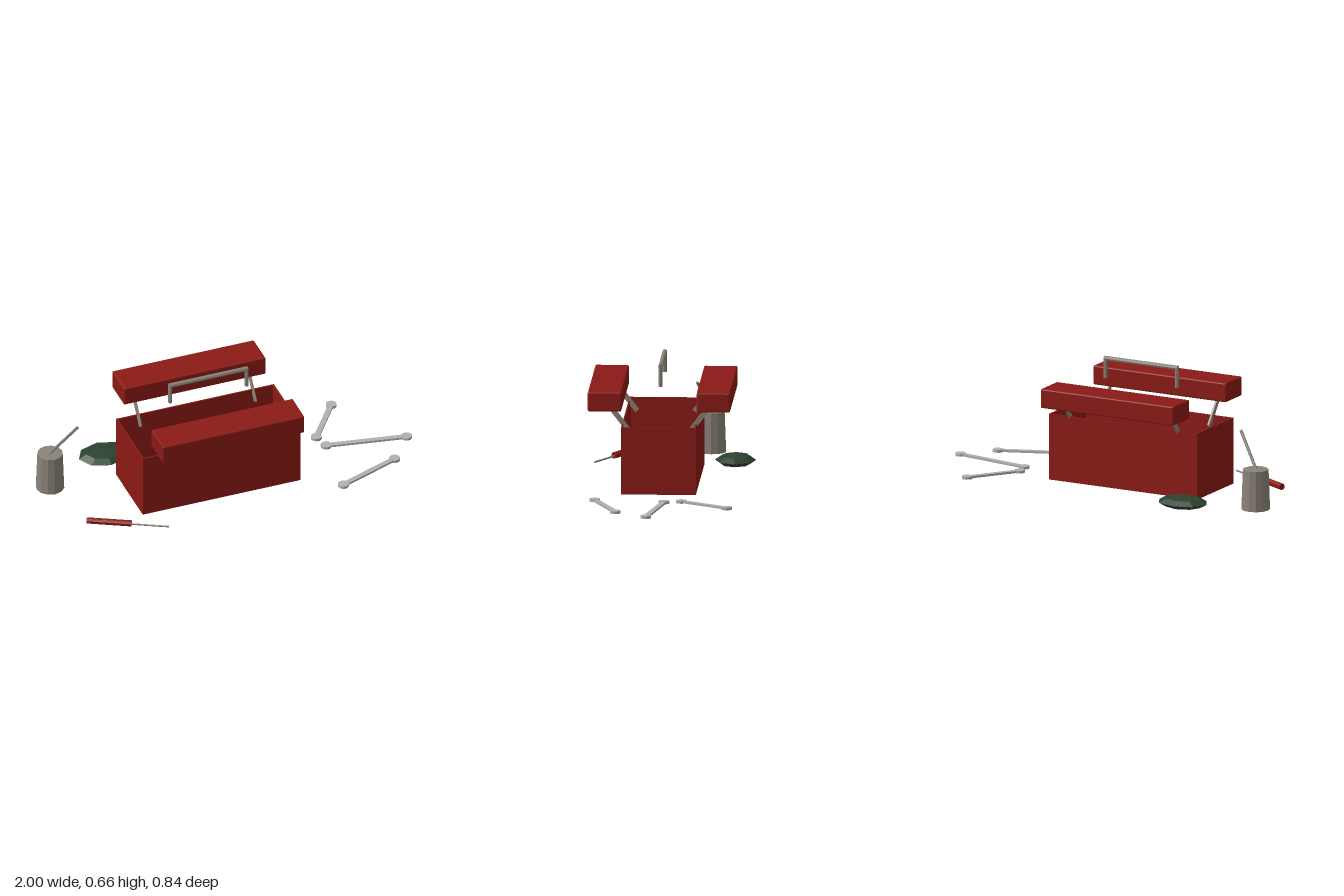
import * as THREE from 'three';
import { RoundedBoxGeometry } from 'three/addons/geometries/RoundedBoxGeometry.js';

const paint = (color) => new THREE.MeshStandardMaterial({ color, flatShading: true });
const RED = paint(0x8b1a16), DARK_RED = paint(0x4a1010), STEEL = paint(0x8a8278);
const WRENCH = paint(0xb0b0b0), GREEN = paint(0x2c4230);
const V = (x, y, z) => new THREE.Vector3(x, y, z);

function add(parent, name, geometry, material, x = 0, y = 0, z = 0) {
  const mesh = new THREE.Mesh(geometry, material);
  mesh.name = name;
  mesh.position.set(x, y, z);
  parent.add(mesh);
  return mesh;
}

// Straight round bar between two points
function rod(parent, name, a, b, radius, sides, material) {
  const dir = b.clone().sub(a);
  const mesh = add(parent, name, new THREE.CylinderGeometry(radius, radius, dir.length(), sides), material);
  mesh.position.copy(a).lerp(b, 0.5);
  mesh.quaternion.setFromUnitVectors(V(0, 1, 0), dir.normalize());
  return mesh;
}

// Flat double-headed wrench lying between two ground points
function wrench(parent, x1, z1, x2, z2) {
  const group = new THREE.Group();
  group.name = 'wrench';
  const length = Math.hypot(x2 - x1, z2 - z1);
  group.position.set((x1 + x2) / 2, 0.011, (z1 + z2) / 2);
  group.rotation.y = -Math.atan2(z2 - z1, x2 - x1);
  add(group, 'wrenchShaft', new THREE.BoxGeometry(length, 0.011, 0.028), WRENCH);
  for (const s of [-1, 1])
    add(group, 'wrenchHead', new THREE.CylinderGeometry(0.029, 0.029, 0.014, 10), WRENCH, s * length / 2);
  parent.add(group);
}

export function createModel() {
  const root = new THREE.Group();
  root.name = 'toolboxSet';

  // Toolbox, centred on its own origin in x and z
  const box = new THREE.Group();
  box.name = 'toolbox';
  box.position.set(-0.125, 0, 0.045);
  root.add(box);

  // Open case: floor and four thin walls
  const W = 0.88, D = 0.39, H = 0.354, T = 0.008, Y = 0.006;
  add(box, 'caseFloor', new THREE.BoxGeometry(W, T, D), RED, 0, Y + T / 2, 0);
  add(box, 'caseLining', new THREE.BoxGeometry(W - 2 * T, 0.004, D - 2 * T), DARK_RED, 0, Y + T + 0.002, 0);
  for (const s of [-1, 1]) {
    add(box, 'caseLongWall', new THREE.BoxGeometry(W, H, T), RED, 0, Y + H / 2, s * (D - T) / 2);
    add(box, 'caseEndWall', new THREE.BoxGeometry(T, H, D - 2 * T), RED, s * (W - T) / 2, Y + H / 2, 0);
  }

  // Cantilever trays on slanted arms
  for (const s of [-1, 1]) {
    add(box, 'tray', new RoundedBoxGeometry(0.79, 0.103, 0.175, 1, 0.007), RED, 0, 0.486, s * 0.2835);
    for (const x of [-0.32, 0.32]) {
      const arm = add(box, 'trayArm', new THREE.BoxGeometry(0.01, 0.18, 0.026), STEEL, x, 0.38, s * 0.204);
      arm.rotation.x = s * 0.66;
    }
  }

  // Carrying handle
  for (const x of [-0.213, 0.213])
    rod(box, 'handlePost', V(x, 0.537, 0), V(x, 0.645, 0), 0.011, 8, STEEL);
  rod(box, 'handleBar', V(-0.219, 0.643, 0), V(0.219, 0.643, 0), 0.0125, 8, STEEL);

  // Can with a leaning stick
  add(root, 'can', new THREE.CylinderGeometry(0.067, 0.075, 0.214, 12), STEEL, -0.925, 0.113, -0.17);
  rod(root, 'canStick', V(-0.94, 0.2, -0.177), V(-0.798, 0.397, -0.1), 0.008, 6, STEEL);

  // Crumpled rag
  const rag = add(root, 'rag', new THREE.SphereGeometry(1, 8, 4), GREEN, -0.57, 0.031, -0.312);
  rag.scale.set(0.14, 0.031, 0.108);

  // Screwdriver
  rod(root, 'screwdriverHandle', V(-0.868, 0.031, 0.217), V(-0.66, 0.031, 0.326), 0.017, 8, RED);
  rod(root, 'screwdriverShaft', V(-0.66, 0.027, 0.326), V(-0.487, 0.027, 0.417), 0.005, 6, STEEL);

  // Loose wrenches
  wrench(root, 0.527, -0.085, 0.703, -0.33);
  wrench(root, 0.548, 0.003, 0.968, 0.077);
  wrench(root, 0.505, 0.367, 0.837, 0.243);

  return root;
}
